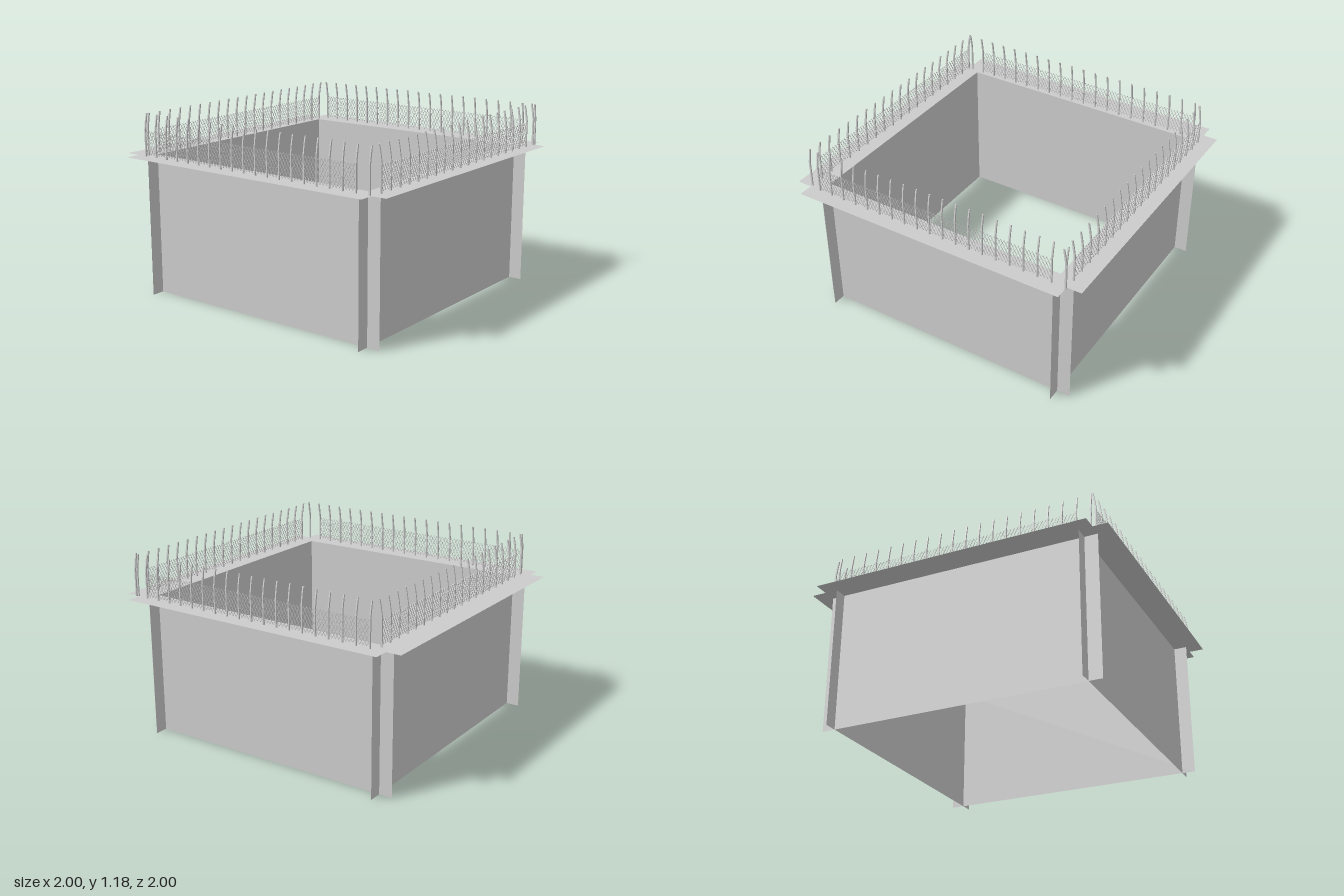
import * as THREE from 'three';

const grey = new THREE.MeshStandardMaterial({ color: 0xcccccc, flatShading: true });
const sheet = new THREE.MeshStandardMaterial({ color: 0xcccccc, side: THREE.DoubleSide });

const HEIGHT = 0.91, WALL = 0.82, HALF = 0.905, RIM = 1.0;
const PITCH = 0.0909, POSTS = 20;

// Post: straight lower part, top leaning inwards (towards -z)
function postGeometry() {
  const w = 0.005, lean = 0.018;
  const shape = new THREE.Shape([
    [-w, 0], [w, 0], [w, 0.17], [w - lean * 0.5, 0.23], [w - lean, 0.272],
    [-w - lean + 0.002, 0.272], [-w - lean * 0.5, 0.23], [-w, 0.17],
  ].map(([x, y]) => new THREE.Vector2(x, y)));
  const g = new THREE.ExtrudeGeometry(shape, { depth: 0.008, bevelEnabled: false });
  g.translate(0, 0, -0.004);
  return g.rotateY(-Math.PI / 2);
}

// One zigzag wire of the netting
function wireGeometry(length, steps, amplitude, sign) {
  const t = 0.0018, lower = [], upper = [];
  for (let i = 0; i <= steps; i++) {
    const x = (length * i) / steps;
    const y = sign * amplitude * (i % 2 ? 1 : -1);
    lower.push(new THREE.Vector2(x, y - t));
    upper.unshift(new THREE.Vector2(x, y + t));
  }
  const shape = new THREE.Shape([...lower, ...upper]);
  const g = new THREE.ExtrudeGeometry(shape, { depth: 0.003, bevelEnabled: false });
  return g.translate(0, 0, -0.0015);
}

export function createModel() {
  const model = new THREE.Group();
  model.name = 'fencedEnclosure';

  function add(parent, geometry, material, name) {
    const mesh = new THREE.Mesh(geometry, material);
    mesh.name = name;
    parent.add(mesh);
    return mesh;
  }

  // Four thin walls crossing at the corners, each with a flat rim on top
  const wall = new THREE.PlaneGeometry(2 * HALF, HEIGHT);
  const rim = new THREE.PlaneGeometry(2 * HALF, RIM - WALL).rotateX(-Math.PI / 2);
  ['front', 'left', 'back', 'right'].forEach((side, i) => {
    const group = new THREE.Group();
    group.name = side + 'Side';
    group.rotation.y = (i * Math.PI) / 2;
    add(group, wall, sheet, side + 'Wall').position.set(0, HEIGHT / 2, WALL);
    add(group, rim, sheet, side + 'Rim').position.set(0, HEIGHT, (WALL + RIM) / 2);
    model.add(group);
  });

  // Fence rows: netting fills all bays but the last
  const rows = 7, rowPitch = 0.0215, netLength = PITCH * (POSTS - 2);
  const post = postGeometry();
  const wires = [1, -1].map((s) => wireGeometry(netLength, (POSTS - 2) * 8, rowPitch / 2, s));

  function fence(name, start, depth, turn, lean) {
    const row = new THREE.Group();
    row.name = name;
    row.rotation.y = turn;
    for (let i = 0; i < POSTS; i++) {
      const p = add(row, post, grey, 'fencePost');
      p.position.set(start + i * PITCH, HEIGHT, depth);
      if (lean < 0) p.rotation.y = Math.PI;
    }
    for (let r = 0; r < rows; r++) {
      const w = add(row, wires[r % 2], grey, 'nettingWire');
      w.position.set(start, HEIGHT + 0.023 + r * rowPitch, depth);
    }
    model.add(row);
  }
  fence('frontFence', -0.837, 0.902, 0, 1);
  fence('leftFence', -0.824, 0.91, Math.PI / 2, 1);
  fence('backFence', -0.805, -0.908, 0, -1);
  fence('rightFence', -0.853, 0.844, -Math.PI / 2, 1);

  return model;
}
